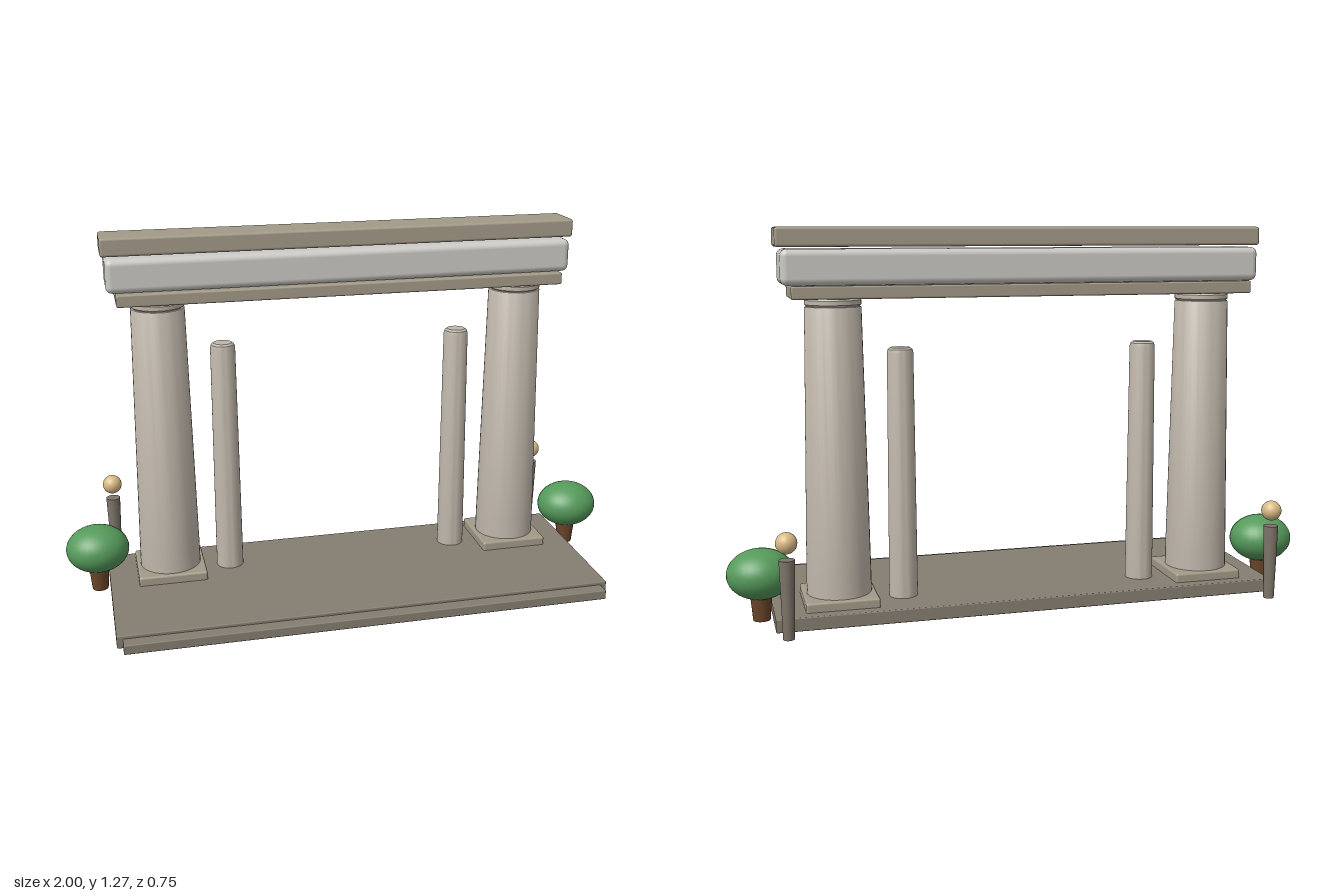
import * as THREE from 'three';
import { RoundedBoxGeometry } from 'three/addons/geometries/RoundedBoxGeometry.js';
import { toCreasedNormals } from 'three/addons/utils/BufferGeometryUtils.js';

const mat = (color) => new THREE.MeshStandardMaterial({ color });

export function createModel() {
  const model = new THREE.Group();
  const paving = mat(0x857d70), trim = mat(0xa39a88), marble = mat(0xcccac5);
  const shaft = mat(0xbfb6aa), post = mat(0x7d756a), glow = mat(0xd9ba84);
  const leaf = mat(0x559a5b), bark = mat(0x6b4528), panel = mat(0x7d6c50);

  function add(parent, name, geometry, material, x = 0, y = 0, z = 0) {
    const mesh = new THREE.Mesh(geometry, material);
    mesh.name = name;
    mesh.position.set(x, y, z);
    parent.add(mesh);
    return mesh;
  }

  // Rounded block given by its extents on each axis
  function block(parent, name, material, [x0, x1], [y0, y1], [z0, z1], r) {
    return add(parent, name, new RoundedBoxGeometry(x1 - x0, y1 - y0, z1 - z0, 3, r), material,
      (x0 + x1) / 2, (y0 + y1) / 2, (z0 + z1) / 2);
  }

  // Turned part from [radius, height] pairs
  const turned = (points) => toCreasedNormals(
    new THREE.LatheGeometry(points.map(([r, y]) => new THREE.Vector2(r, y)), 40), 0.5);

  // Platform, front step and the inlay on the underside
  block(model, 'platform', paving, [-0.86, 0.85], [0.002, 0.047], [-0.29, 0.33], 0.004);
  block(model, 'frontStep', paving, [-0.84, 0.83], [0.002, 0.036], [0.3, 0.375], 0.004);
  add(model, 'undersideInlay', new THREE.BoxGeometry(0.6, 0.012, 0.13), panel, -0.005, 0.007, -0.1);

  // Beam stack
  const beam = new THREE.Group();
  beam.name = 'beam';
  model.add(beam);
  block(beam, 'lowerSlab', trim, [-0.78, 0.77], [1.046, 1.088], [-0.232, -0.026], 0.006);
  block(beam, 'middleBeam', marble, [-0.81, 0.8], [1.088, 1.202], [-0.22, -0.038], 0.022);
  block(beam, 'topSlab', trim, [-0.822, 0.814], [1.208, 1.27], [-0.202, -0.056], 0.009);

  // Mirrored parts, about the slightly offset centre line
  for (const [side, s] of [['left', 1], ['right', -1]]) {
    const half = new THREE.Group();
    half.name = side + 'Side';
    half.position.set(-0.005, 0, -0.13);
    model.add(half);

    // Main column on its plinth
    const cx = s * 0.636;
    block(half, 'plinth', trim, [cx - 0.12, cx + 0.12], [0.03, 0.078], [-0.12, 0.12], 0.008);
    add(half, 'mainColumn', turned([
      [0, 0.04], [0.107, 0.04], [0.106, 0.15], [0.091, 1.015], [0.089, 1.019],
      [0.084, 1.02], [0.091, 1.026], [0.091, 1.04], [0.085, 1.048], [0, 1.048],
    ]), shaft, cx);

    // Slim inner column
    add(half, 'innerColumn', turned([
      [0, 0.001], [0.048, 0.001], [0.048, 0.05], [0.043, 0.865], [0.04, 0.876], [0.032, 0.882], [0, 0.882],
    ]), shaft, s * 0.421);

    // Lamp behind the platform
    add(half, 'lampPost', new THREE.CylinderGeometry(0.025, 0.018, 0.255, 24), post, s * 0.82, 0.1275, -0.215);
    add(half, 'lampGlobe', new THREE.SphereGeometry(0.034, 24, 16), glow, s * 0.82, 0.308, -0.215);

    // Clipped tree
    add(half, 'trunk', new THREE.CylinderGeometry(0.037, 0.028, 0.1, 24), bark, s * 0.89, 0.05, 0);
    const crown = add(half, 'treeCrown', new THREE.SphereGeometry(1, 32, 24), leaf, s * 0.89, 0.155, 0);
    crown.scale.set(0.11, 0.083, 0.101);
  }
  return model;
}
